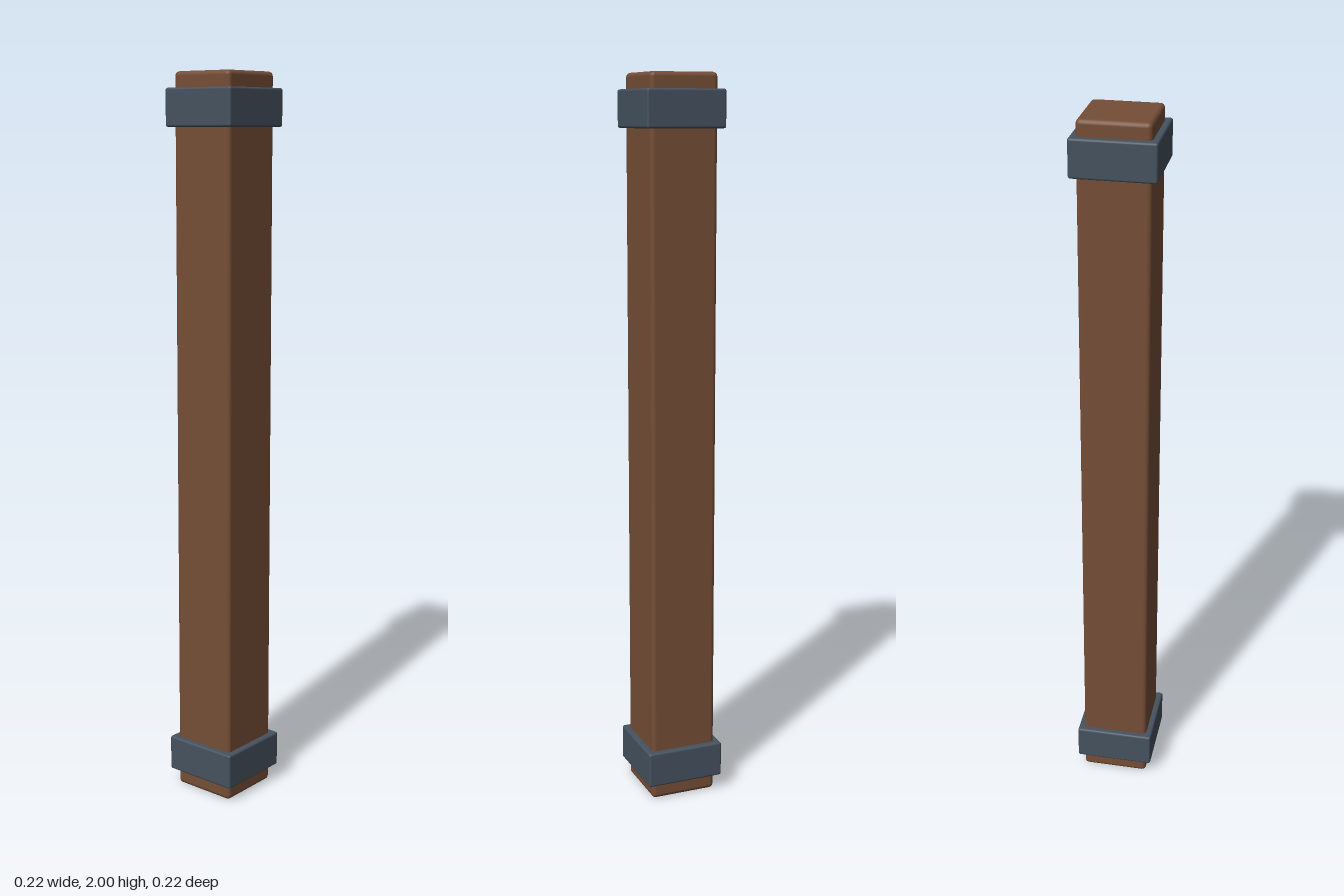
import * as THREE from 'three';
import { RoundedBoxGeometry } from 'three/addons/geometries/RoundedBoxGeometry.js';

export function createModel() {
  const group = new THREE.Group();
  group.name = 'bandedPost';

  const wood = new THREE.MeshStandardMaterial({ color: 0x754e36 });
  const metal = new THREE.MeshStandardMaterial({ color: 0x45525f });

  // Square block with softened edges, centred on the vertical axis
  function addBlock(name, width, height, y, bevel, material) {
    const mesh = new THREE.Mesh(new RoundedBoxGeometry(width, height, width, 2, bevel), material);
    mesh.name = name;
    mesh.position.y = y;
    group.add(mesh);
  }

  // Wooden post running the full height
  addBlock('post', 0.188, 2, 1, 0.012, wood);

  // Metal bands near each end
  addBlock('lowerBand', 0.221, 0.1, 0.095, 0.006, metal);
  addBlock('upperBand', 0.221, 0.1, 1.908, 0.006, metal);

  return group;
}
